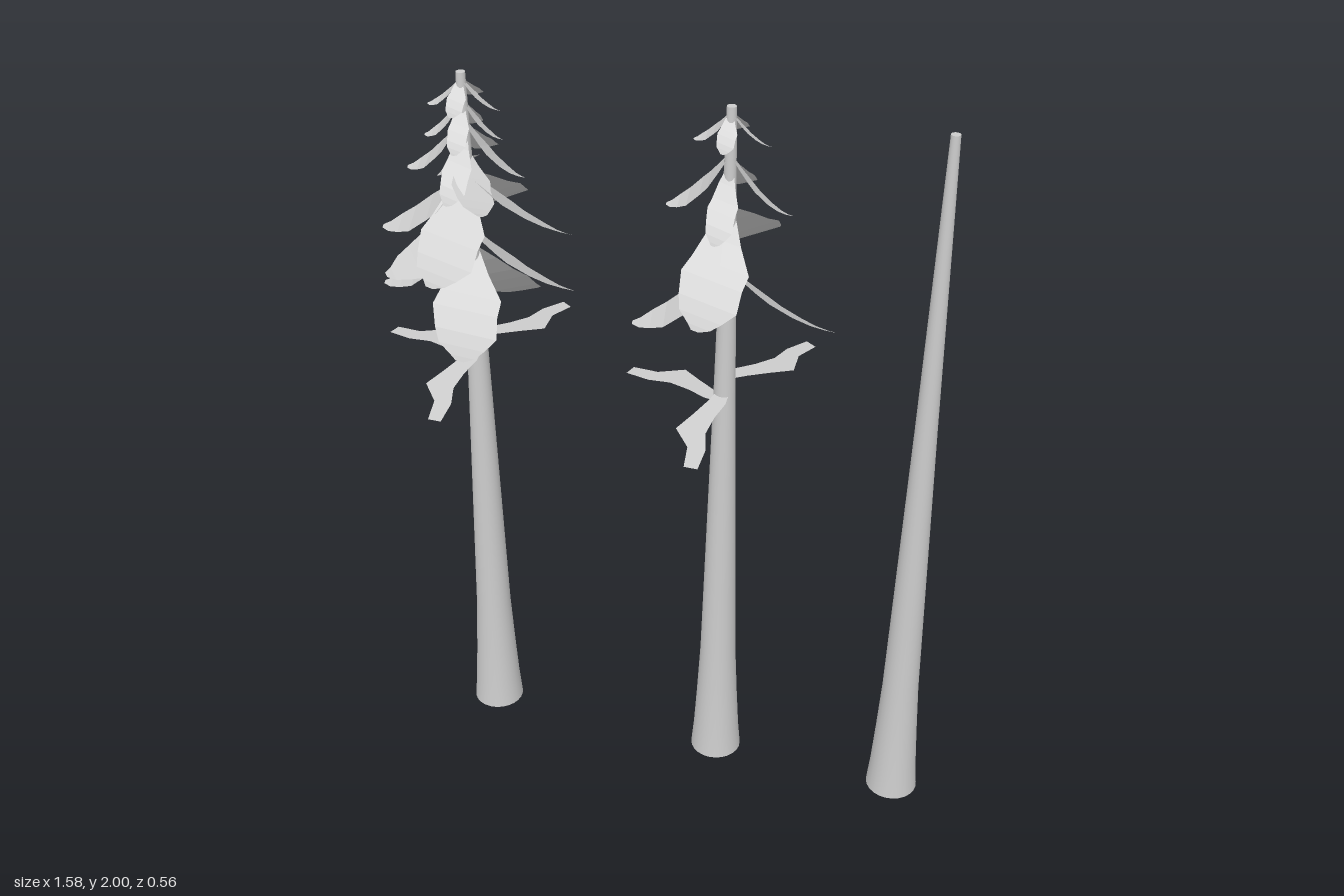
import * as THREE from 'three';

const bark = new THREE.MeshStandardMaterial({ color: 0xcccccc });
const cap = new THREE.MeshStandardMaterial({ color: 0xcccccc });
const foliage = new THREE.MeshStandardMaterial({ color: 0xcccccc, flatShading: true, side: THREE.DoubleSide });

// Flared trunk, radius by height
const trunkProfile = [[0.072, 0], [0.065, 0.08], [0.058, 0.2], [0.05, 0.36], [0.044, 0.6], [0.029, 1.2], [0.012, 2]];

function makeTrunk() {
  const trunk = new THREE.Group();
  trunk.name = 'trunk';
  const side = new THREE.Mesh(new THREE.LatheGeometry(trunkProfile.map(p => new THREE.Vector2(...p)), 24), bark);
  side.name = 'trunkSide';
  const bottom = new THREE.Mesh(new THREE.CircleGeometry(0.072, 24).rotateX(Math.PI / 2), cap);
  bottom.name = 'trunkBase';
  const top = new THREE.Mesh(new THREE.CircleGeometry(0.012, 24).rotateX(-Math.PI / 2), cap);
  top.position.y = 2;
  top.name = 'trunkTop';
  trunk.add(side, bottom, top);
  return trunk;
}

// Thin sheet from rows [along, edgeA, edgeB], pointing along (dx, dz).
// The side axis is the heading turned clockwise as seen from above.
function makeSheet(name, rows, dx, dz, heightAt) {
  const len = Math.hypot(dx, dz), ux = dx / len, uz = dz / len;
  const pos = [], index = [];
  rows.forEach(([u, a, b], i) => {
    for (const v of [a, (a + b) / 2, b]) pos.push(ux * u - uz * v, heightAt(u, v), uz * u + ux * v);
    if (i) for (const c of [0, 1]) {
      const k = (i - 1) * 3 + c;
      index.push(k, k + 1, k + 3, k + 1, k + 4, k + 3);
    }
  });
  const geo = new THREE.BufferGeometry();
  geo.setAttribute('position', new THREE.Float32BufferAttribute(pos, 3));
  geo.setIndex(index);
  geo.computeVertexNormals();
  const mesh = new THREE.Mesh(geo, foliage);
  mesh.name = name;
  return mesh;
}

// Drooping bough: steep at the trunk, flatter towards the tip, rolled about its length
const boughOutline = [[0, -0.12, 0.12], [0.15, -0.28, 0.3], [0.32, -0.5, 0.42], [0.45, -0.46, 0.52],
  [0.65, -0.48, 0.45], [0.8, -0.32, 0.36], [0.92, -0.2, 0.16], [1, -0.06, 0.06]];

function makeBough([dx, dz, root, tip, width, roll]) {
  const len = Math.hypot(dx, dz);
  const rows = boughOutline.map(([t, a, b]) => [t * len, a * width, b * width]);
  return makeSheet('bough', rows, dx, dz, (u, v) =>
    root - (root - tip) * (1 - Math.pow(1 - u / len, 1.7)) + v * roll);
}

// Dead branch: flat crooked strip
const deadOutline = [[0, -0.015, 0.015], [0.05, -0.018, 0.03], [0.105, -0.005, 0.052], [0.165, 0, 0.079],
  [0.222, -0.018, 0.03], [0.29, -0.018, 0.018]];
const deadBranches = [[0, 1, 1.22, 0.06], [-0.29, -0.068, 1.19, 0], [0.165, -0.23, 1.26, 0]];

function makeDeadBranch([dx, dz, y, drop]) {
  return makeSheet('deadBranch', deadOutline, dx, dz, u => y - drop * u / 0.29);
}

// Boughs: dx, dz, root height, tip height, width, roll
const sparseBoughs = [
  [-0.09, 0.01, 1.985, 1.91, 0.04, 0.3], [0.1, 0, 1.985, 1.91, 0.04, 0.4],
  [0, 0.08, 1.98, 1.91, 0.045, 0.3], [0.01, -0.1, 1.98, 1.91, 0.045, 0.4],
  [-0.155, 0.02, 1.88, 1.735, 0.07, 0.3], [0.155, -0.01, 1.88, 1.735, 0.07, 0.4],
  [0, 0.14, 1.84, 1.7, 0.07, 0.3], [0.01, -0.17, 1.86, 1.74, 0.07, 0.4],
  [-0.01, 0.24, 1.71, 1.52, 0.16, 0.22], [0.02, -0.27, 1.73, 1.56, 0.17, 0.5],
  [-0.235, 0.05, 1.58, 1.405, 0.1, 0.25], [0.28, -0.01, 1.58, 1.435, 0.14, 0.55],
];
const extraBoughs = [
  [-0.1, 0.02, 1.93, 1.83, 0.05, 0.3], [0.1, -0.01, 1.93, 1.83, 0.05, 0.4],
  [0.01, 0.1, 1.92, 1.82, 0.05, 0.3], [0, -0.1, 1.92, 1.83, 0.05, 0.4],
  [-0.12, -0.16, 1.77, 1.68, 0.11, 0.4], [0.09, 0.13, 1.79, 1.68, 0.1, 0.3],
  [-0.225, 0.05, 1.73, 1.57, 0.11, 0.25], [0.28, 0, 1.74, 1.6, 0.14, 0.55],
  [-0.15, -0.2, 1.62, 1.49, 0.15, 0.4], [-0.17, 0.16, 1.62, 1.49, 0.13, 0.3],
  [0.06, 0.24, 1.52, 1.32, 0.17, 0.22], [0.07, -0.25, 1.52, 1.29, 0.17, 0.45],
];

function makeTree(name, x, boughs, dead) {
  const tree = new THREE.Group();
  tree.name = name;
  tree.position.set(x, 0, -0.01);
  tree.add(makeTrunk(), ...boughs.map(makeBough), ...dead.map(makeDeadBranch));
  return tree;
}

export function createModel() {
  const model = new THREE.Group();
  model.name = 'conifers';
  model.add(
    makeTree('fullTree', -0.505, [...sparseBoughs, ...extraBoughs], deadBranches),
    makeTree('sparseTree', 0.19, sparseBoughs, deadBranches),
    makeTree('bareTree', 0.72, [], []),
  );
  return model;
}
